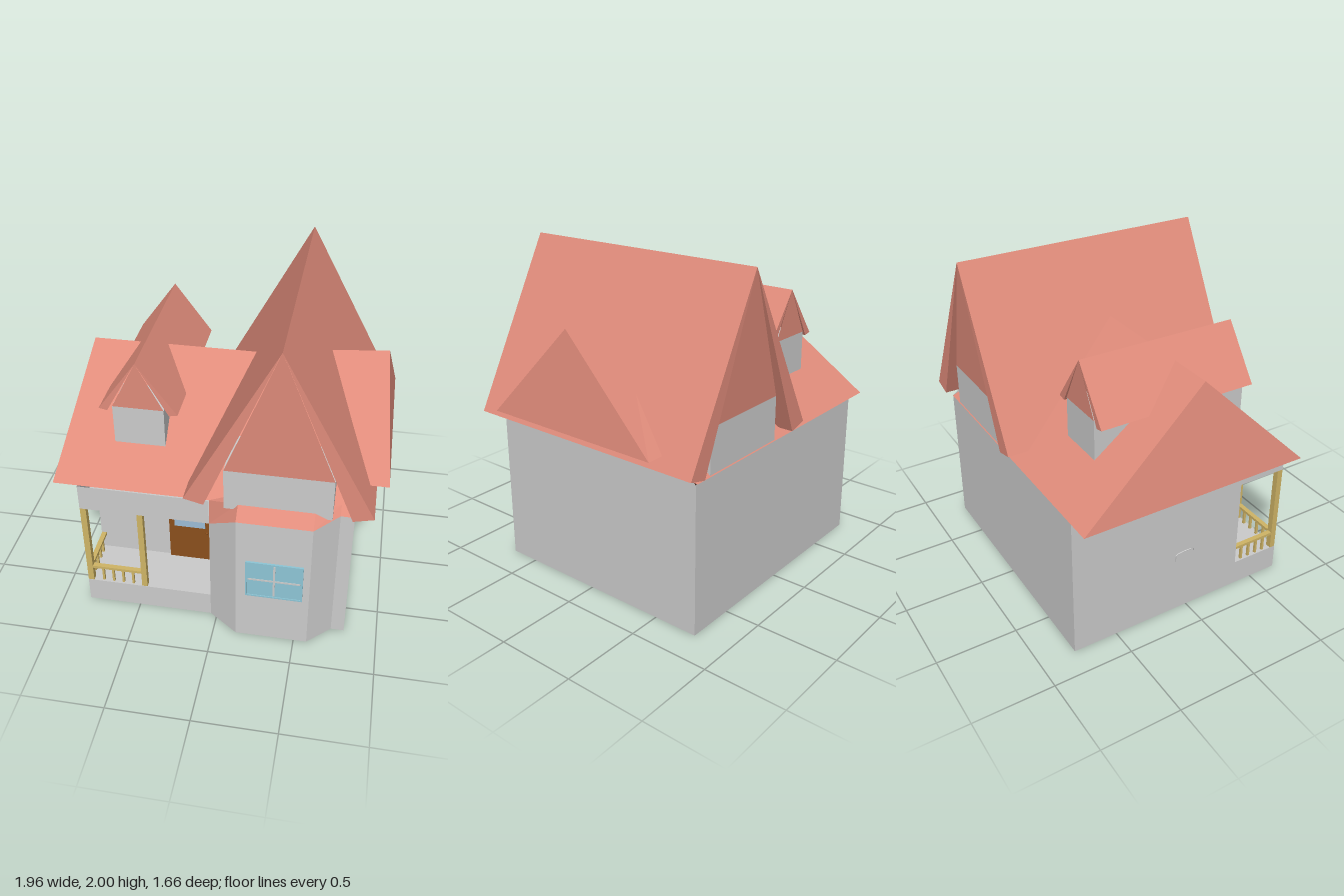
import * as THREE from 'three';

const mat = (color) => new THREE.MeshStandardMaterial({ color, flatShading: true, side: THREE.DoubleSide });
const GREY = mat(0xcccccc), ROOF = mat(0xe08c7b), WOOD = mat(0xd0b566), DOOR = mat(0x8b4f1c);
const GLASS = mat(0x8ec6d6), PALE = mat(0x9dbcd6), EARTH = mat(0x43261c);

// One mesh from a list of flat convex polygons, each a list of [x, y, z] corners
function panels(name, material, polygons) {
  const pos = [];
  for (const p of polygons)
    for (let i = 1; i < p.length - 1; i++) pos.push(...p[0], ...p[i], ...p[i + 1]);
  const g = new THREE.BufferGeometry();
  g.setAttribute('position', new THREE.Float32BufferAttribute(pos, 3));
  g.computeVertexNormals();
  const m = new THREE.Mesh(g, material);
  m.name = name;
  return m;
}

// Box given by its extents
function box(name, material, [x0, x1], [y0, y1], [z0, z1]) {
  const m = new THREE.Mesh(new THREE.BoxGeometry(x1 - x0, y1 - y0, z1 - z0), material);
  m.position.set((x0 + x1) / 2, (y0 + y1) / 2, (z0 + z1) / 2);
  m.name = name;
  return m;
}

// Upright wall from plan point a to plan point b
const wall = (a, b, y0, y1) => [[a[0], y0, a[1]], [b[0], y0, b[1]], [b[0], y1, b[1]], [a[0], y1, a[1]]];
// Level rectangle
const level = (x0, x1, z0, z1, y) => [[x0, y, z0], [x1, y, z0], [x1, y, z1], [x0, y, z1]];

// Gabled roof along z: two wedge slabs, with gable panels leaning in to the walls below
function gableRoof(name, o) {
  const g = new THREE.Group();
  g.name = name;
  const [z0, z1] = o.z, [w0, w1] = o.wallZ;
  const polys = [];
  for (const s of [-1, 1]) {
    const sec = [[o.x, o.top], [o.x + s * o.outer[0], o.outer[1]], [o.x + s * o.inner[0], o.inner[1]]];
    const at = (z) => sec.map(([x, y]) => [x, y, z]);
    const a = at(z0), b = at(z1);
    polys.push(a, b);
    for (let i = 0; i < 3; i++) {
      const j = (i + 1) % 3;
      polys.push([a[i], a[j], b[j], b[i]]);
    }
  }
  for (const [z, w] of [[z0, w0], [z1, w1]])
    polys.push([[o.x, o.top, z], [o.x - o.half, o.wallTop, w], [o.x + o.half, o.wallTop, w]]);
  g.add(panels(name + 'Slopes', ROOF, polys));
  g.add(box(name + 'Walls', GREY, [o.x - o.half, o.x + o.half], [o.wallBase, o.wallTop], [w0, w1]));
  return g;
}

export function createModel() {
  const house = new THREE.Group();
  house.name = 'house';
  const L = -0.83, R = 0.8, B = -0.78, F = 0.69, P = 0.37, S = -0.04; // wall planes, porch back and side

  // Outer walls, open below, with the porch corner cut out
  house.add(panels('outerWalls', GREY, [
    [[R, 0, F], [R, 0, B], [R, 0.92, B], [R, 0.96, -0.73], [R, 0.96, 0.65], [R, 0.92, F]],
    wall([L, B], [R, B], 0, 0.925),
    wall([L, B], [L, P], 0, 0.925),
    wall([L, P], [L, F], 0, 0.165),
    wall([L, P], [L, F], 0.755, 0.925),
    wall([L, F], [S, F], 0, 0.165),
    wall([L, F], [S, F], 0.755, 0.925),
    wall([0.72, F], [R, F], 0, 0.925),
  ]));
  house.add(panels('bayWalls', GREY, [
    [[S, 0, F], [0.14, 0, 0.82], [0.14, 0.905, 0.82], [S, 0.755, F]],
    wall([0.14, 0.82], [0.58, 0.82], 0, 0.905),
    [[0.58, 0, 0.82], [0.72, 0, F], [0.72, 0.925, F], [0.58, 0.905, 0.82]],
  ]));
  house.add(panels('bayRoof', ROOF, [
    [[S, 0.755, F], [0.14, 0.905, 0.82], [0.14, 0.968, 0.735], [S, 0.925, 0.68]],
    [[0.14, 0.905, 0.82], [0.58, 0.905, 0.82], [0.58, 0.968, 0.735], [0.14, 0.968, 0.735]],
    [[0.58, 0.905, 0.82], [0.72, 0.925, F], [0.72, 0.968, 0.64], [0.58, 0.968, 0.735]],
    [[S, 0.925, 0.68], [0.14, 0.968, 0.735], [0.14, 0.968, 0.64]],
    [[0.72, 0.925, F], [R, 0.925, F], [R, 0.968, 0.64], [0.72, 0.968, 0.64]],
  ]));
  house.add(panels('floorUnderside', EARTH, [level(L, R, B, F, 0.14)]));
  house.add(panels('porchInterior', GREY, [
    level(L, S, P, F, 0.165), level(L, S, P, F, 0.755),
    wall([L, P], [S, P], 0.165, 0.755), wall([S, P], [S, F], 0.165, 0.755),
  ]));

  // Porch posts and railings
  const porch = new THREE.Group();
  porch.name = 'porchWoodwork';
  for (const [x0, x1] of [[L, -0.793], [-0.48, -0.445]])
    porch.add(box('porchPost', WOOD, [x0, x1], [0.165, 0.755], [0.652, 0.688]));
  porch.add(box('frontRail', WOOD, [-0.793, -0.48], [0.265, 0.283], [0.655, 0.685]));
  porch.add(box('sideRail', WOOD, [-0.827, -0.797], [0.265, 0.283], [P, 0.652]));
  for (let i = 1; i <= 4; i++) {
    const x = -0.795 + i * 0.064, z = P + i * 0.057;
    porch.add(box('frontBaluster', WOOD, [x - 0.007, x + 0.007], [0.165, 0.265], [0.662, 0.678]));
    porch.add(box('sideBaluster', WOOD, [-0.82, -0.804], [0.165, 0.265], [z - 0.007, z + 0.007]));
  }
  house.add(porch);

  // Front door
  const door = new THREE.Group();
  door.name = 'frontDoor';
  door.add(box('doorLeaf', DOOR, [-0.365, -0.1], [0.165, 0.645], [P, 0.385]));
  door.add(box('doorGlass', PALE, [-0.33, -0.13], [0.43, 0.6], [0.38, 0.388]));
  const knob = new THREE.Mesh(new THREE.SphereGeometry(0.009, 8, 6), DOOR);
  knob.name = 'doorKnob';
  knob.position.set(-0.118, 0.4, 0.395);
  door.add(knob);
  house.add(door);

  // Bay window with four panes
  const win = new THREE.Group();
  win.name = 'bayWindow';
  win.add(box('windowGlass', GLASS, [0.2, 0.54], [0.35, 0.62], [0.815, 0.827]));
  win.add(box('windowMullion', GREY, [0.364, 0.376], [0.365, 0.605], [0.82, 0.83]));
  win.add(box('windowTransom', GREY, [0.215, 0.525], [0.479, 0.491], [0.82, 0.83]));
  for (const x of [0.2, 0.53]) win.add(box('windowStile', GLASS, [x, x + 0.01], [0.35, 0.62], [0.82, 0.832]));
  for (const y of [0.35, 0.61]) win.add(box('windowRail', GLASS, [0.2, 0.54], [y, y + 0.01], [0.82, 0.832]));
  house.add(win);

  // Small bracket on the left wall
  const path = new THREE.CatmullRomCurve3([
    [L, 0.37, -0.09], [-0.838, 0.42, -0.09], [-0.84, 0.43, -0.07], [-0.84, 0.43, 0.02], [L, 0.41, 0.04],
  ].map((p) => new THREE.Vector3(...p)));
  const bracket = new THREE.Mesh(new THREE.TubeGeometry(path, 16, 0.004, 6), GREY);
  bracket.name = 'sideBracket';
  house.add(bracket);

  // Main hipped roof
  const e = 0.925, ridgeL = [-0.855, 1.56, 0.04], ridgeR = [0.37, 1.56, 0.04];
  const fl = [-0.98, e, 0.68], fr = [0.79, e, 0.68], bl = [-0.98, e, -0.785], br = [0.79, e, -0.785];
  house.add(panels('mainRoof', ROOF, [
    [fl, fr, ridgeR, ridgeL], [br, bl, ridgeL, ridgeR], [bl, fl, ridgeL], [fr, br, ridgeR], [fl, fr, br, bl],
  ]));

  // Tall cross gable and the smaller through dormer
  house.add(gableRoof('crossGable', {
    x: 0.367, top: 2, outer: [0.54, 0.99], inner: [0.422, 0.96], half: 0.31,
    wallTop: 1.2, wallBase: 0.93, z: [-0.83, 0.765], wallZ: [-0.78, 0.738],
  }));
  house.add(gableRoof('dormer', {
    x: -0.487, top: 1.675, outer: [0.233, 1.355], inner: [0.183, 1.345], half: 0.152,
    wallTop: 1.375, wallBase: 1.0, z: [-0.525, 0.48], wallZ: [-0.523, 0.478],
  }));

  // Hipped side roof on the right
  const ri = [0.45, 1.6, 0.03], ro = [0.903, 1.64, 0.03], y = 1.063;
  const of = [0.975, y, 0.558], ob = [0.975, y, -0.61], nf = [0.6, y, 0.558], nb = [0.6, y, -0.61];
  house.add(panels('sideRoof', ROOF, [[nf, of, ro, ri], [ob, nb, ri, ro], [of, ob, ro], [nf, nb, ob, of]]));

  return house;
}
